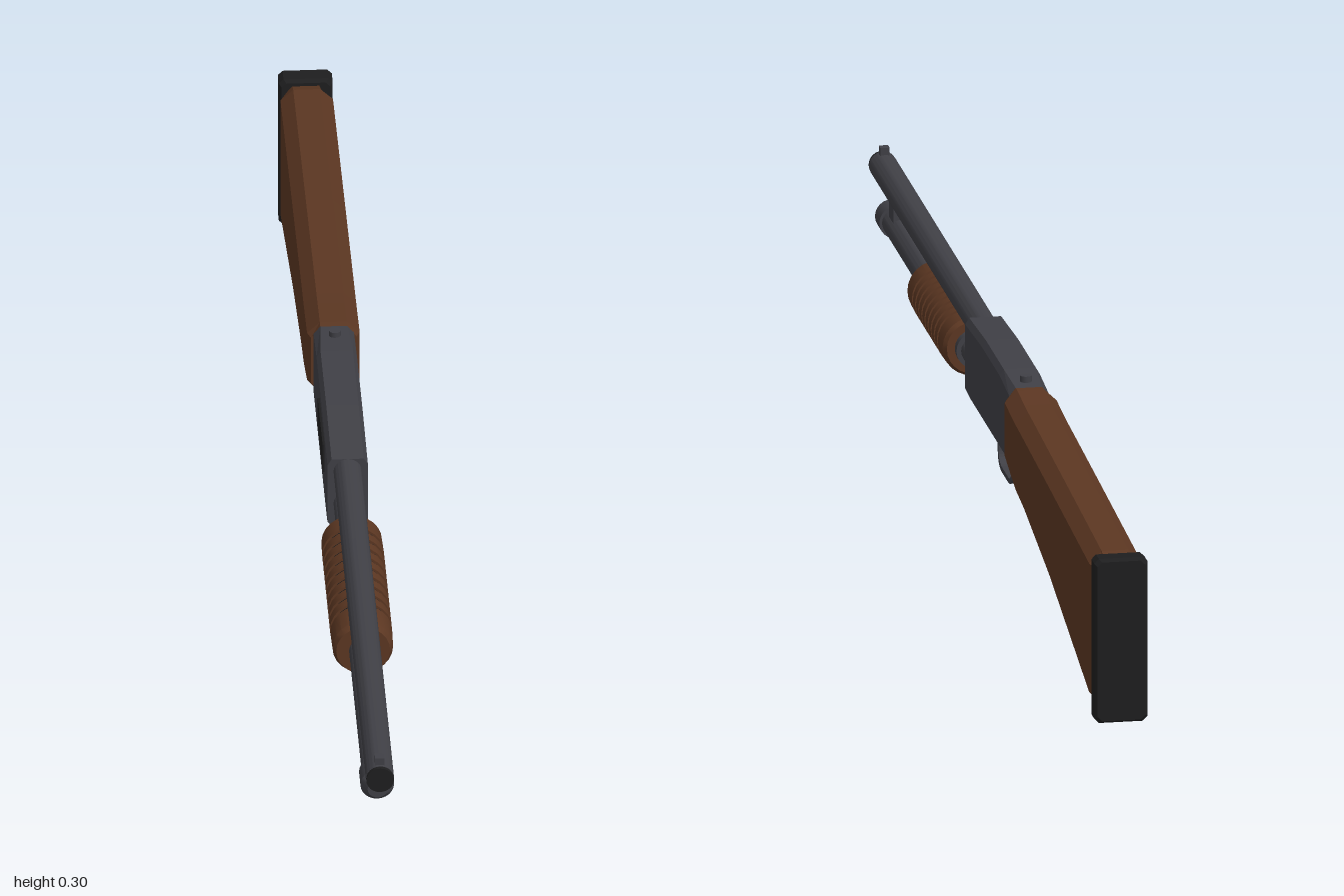
import * as THREE from 'three';
import { toCreasedNormals } from 'three/addons/utils/BufferGeometryUtils.js';

const paint = (name, color) => {
  const m = new THREE.MeshStandardMaterial({ color });
  m.name = name;
  return m;
};

// Eight-sided loft along z, listed front to back.
// Section: [z, yBottom, yTop, halfWidth, halfTop, topChamfer, halfBottom, bottomChamfer]
function loft(sections) {
  const rings = sections.map(([z, b, t, w, tw, tc, bw, bc]) => [
    [w, b + bc, z], [w, t - tc, z], [tw, t, z], [-tw, t, z],
    [-w, t - tc, z], [-w, b + bc, z], [-bw, b, z], [bw, b, z],
  ]);
  const pos = [];
  const tri = (...p) => p.forEach((v) => pos.push(...v));
  for (let s = 0; s < rings.length - 1; s++) {
    for (let i = 0; i < 8; i++) {
      const j = (i + 1) % 8;
      const [f, k] = [rings[s], rings[s + 1]];
      tri(f[i], k[i], f[j]);
      tri(k[i], k[j], f[j]);
    }
  }
  const first = rings[0], last = rings[rings.length - 1];
  for (let i = 1; i < 7; i++) {
    tri(first[0], first[i], first[i + 1]);
    tri(last[0], last[i + 1], last[i]);
  }
  const g = new THREE.BufferGeometry();
  g.setAttribute('position', new THREE.Float32BufferAttribute(pos, 3));
  g.computeVertexNormals();
  return g;
}

// Round part along z from [radius, z] points, listed back to front
function turned(points) {
  const g = new THREE.LatheGeometry(points.map(([r, z]) => new THREE.Vector2(r, z)), 24);
  return toCreasedNormals(g.rotateX(Math.PI / 2), 0.5);
}
const rod = (r, z0, z1) => turned([[0, z0], [r, z0], [r, z1], [0, z1]]);

export function createModel() {
  const group = new THREE.Group();
  const metal = paint('gunmetal', 0x404046);
  const wood = paint('walnut', 0x5c3722);
  const dark = paint('black rubber', 0x1e1e1f);

  const add = (name, geometry, material, x = 0, y = 0, z = 0) => {
    const m = new THREE.Mesh(geometry, material);
    m.name = name;
    m.position.set(x, y, z);
    group.add(m);
    return m;
  };
  const box = (name, w, h, d, material, x, y, z) =>
    add(name, new THREE.BoxGeometry(w, h, d), material, x, y, z);

  // Barrel, muzzle and bead sight
  const barrelY = 0.266, tubeY = 0.21;
  add('barrel', rod(0.021, 0.12, 0.994), metal, 0, barrelY);
  add('muzzle', rod(0.0205, 0.99, 1.0), dark, 0, barrelY);
  box('frontSight', 0.014, 0.014, 0.014, metal, 0, 0.291, 0.983);

  // Magazine tube, end cap and bracket to the barrel
  add('magazineTube', rod(0.021, 0.12, 0.9), metal, 0, tubeY);
  add('magazineCap', turned([[0, 0.885], [0.025, 0.885], [0.025, 0.922],
    [0.015, 0.935], [0, 0.935]]), metal, 0, tubeY);
  box('barrelBracket', 0.028, 0.045, 0.036, metal, 0, 0.24, 0.848);

  // Ribbed sliding grip
  const profile = [[0.021, 0.238], [0.04, 0.238], [0.045, 0.246]];
  const grooves = 9, groove = 0.008;
  for (let i = 0; i < grooves; i++) {
    const z = 0.285 + i * 0.026;
    profile.push([0.046, z - groove / 2], [0.041, z - groove / 2],
      [0.041, z + groove / 2], [0.046, z + groove / 2]);
    add('gripGroove' + (i + 1), rod(0.0425, z - groove / 2, z + groove / 2), dark, 0, tubeY);
  }
  profile.push([0.045, 0.54], [0.04, 0.55], [0.021, 0.55]);
  add('slidingGrip', turned(profile), wood, 0, tubeY);
  add('gripCollar', rod(0.028, 0.224, 0.24), metal, 0, tubeY);

  // Receiver with bevelled top edges
  add('receiver', loft([
    [0.14, 0.174, 0.287, 0.03, 0.024, 0.01, 0.026, 0.004],
    [0.1, 0.171, 0.289, 0.03, 0.024, 0.01, 0.026, 0.004],
    [0.0, 0.171, 0.294, 0.03, 0.024, 0.01, 0.026, 0.004],
    [-0.15, 0.171, 0.294, 0.03, 0.024, 0.01, 0.026, 0.004],
    [-0.228, 0.171, 0.288, 0.03, 0.02, 0.012, 0.026, 0.004],
  ]), metal);
  box('ejectionPort', 0.008, 0.048, 0.13, dark, -0.029, 0.242, 0);
  box('loadingPort', 0.036, 0.006, 0.14, dark, 0, 0.17, 0.035);
  add('safetyButton', new THREE.CylinderGeometry(0.009, 0.009, 0.014, 16), metal, 0, 0.292, -0.2);

  // Trigger guard: a flat strip drawn in side view (shape x = -z)
  const outline = (s, d) => {
    s.moveTo(0.03 + d, 0.175);
    s.lineTo(0.034 + d, 0.135);
    s.quadraticCurveTo(0.037 + d, 0.112 + d, 0.065, 0.11 + d);
    s.lineTo(0.125, 0.11 + d);
    s.quadraticCurveTo(0.153 - d, 0.112 + d, 0.156 - d, 0.135);
    s.lineTo(0.16 - d, 0.175);
    return s;
  };
  const strip = outline(new THREE.Shape(), 0);
  const inner = outline(new THREE.Path(), 0.008).getPoints(6).reverse();
  inner.forEach((p) => strip.lineTo(p.x, p.y));
  const side = (shape, width) => new THREE.ExtrudeGeometry(shape,
    { depth: width, bevelEnabled: false, curveSegments: 6 })
    .translate(0, 0, -width / 2).rotateY(Math.PI / 2);
  add('triggerGuard', side(strip, 0.025), metal);

  // Curved trigger
  const blade = new THREE.Shape();
  blade.moveTo(0.074, 0.175);
  blade.quadraticCurveTo(0.088, 0.152, 0.07, 0.136);
  blade.lineTo(0.076, 0.134);
  blade.quadraticCurveTo(0.098, 0.15, 0.088, 0.175);
  add('trigger', side(blade, 0.012), metal);

  // Shoulder stock
  const stock = [
    [-0.226, 0.173, 0.288, 0.034],
    [-0.24, 0.17, 0.288, 0.039],
    [-0.3, 0.153, 0.283, 0.039],
    [-0.33, 0.145, 0.281, 0.039],
    [-0.4, 0.137, 0.278, 0.039],
    [-0.61, 0.098, 0.268, 0.039],
    [-0.945, 0.016, 0.251, 0.039],
    [-0.97, 0.018, 0.243, 0.027],
  ].map(([z, b, t, w]) => [z, b, t, w, 0.02, 0.018, 0.02, 0.018]);
  add('stock', loft(stock), wood);

  // Recoil pad with clipped corners
  const pad = (z, d) => [z, d, 0.254 - d, 0.04 - d, 0.033 - d, 0.007, 0.033 - d, 0.007];
  add('recoilPad', loft([pad(-0.964, 0.004), pad(-0.97, 0), pad(-0.994, 0), pad(-1.0, 0.004)]), dark);

  return group;
}
